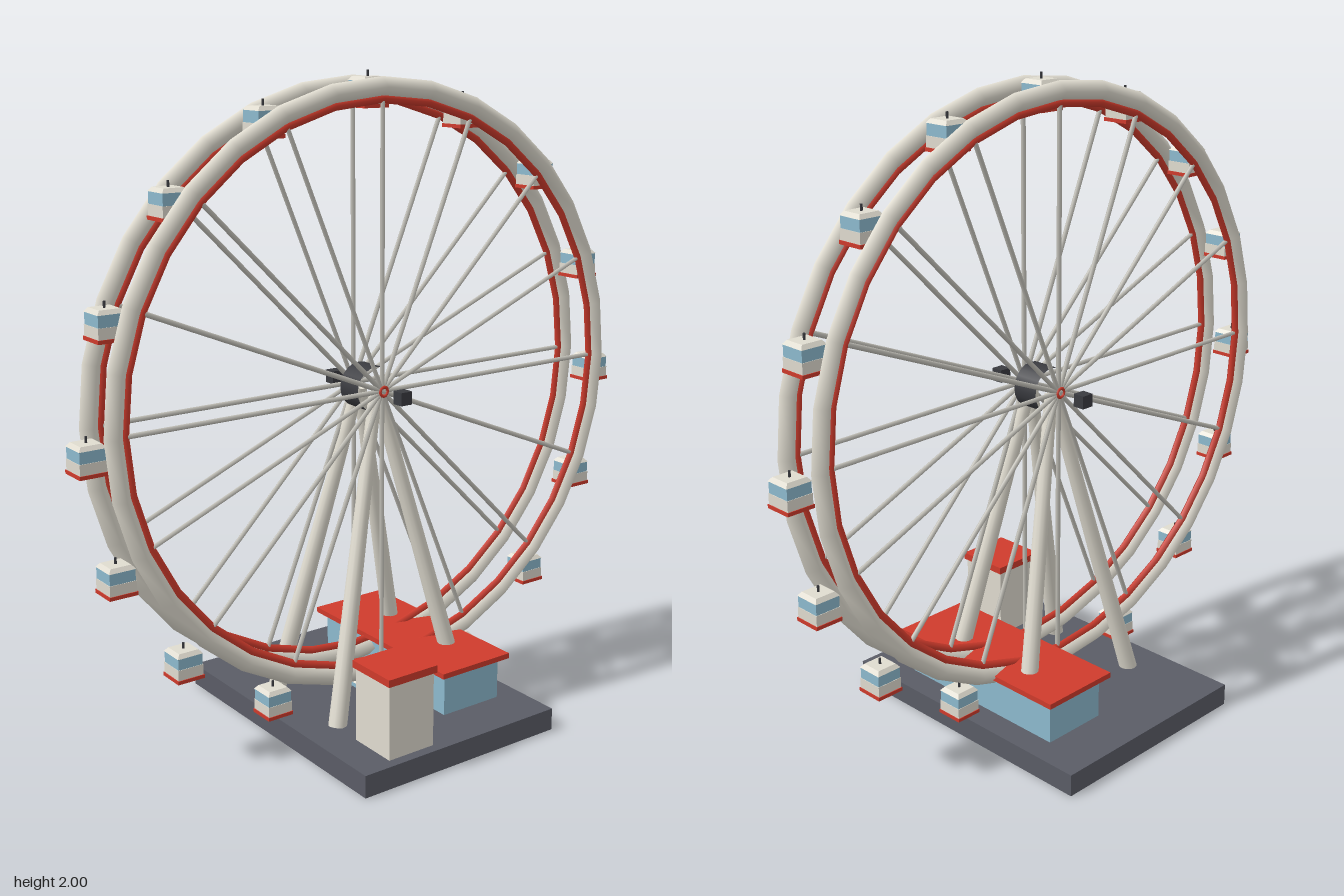
import * as THREE from 'three';

export function createModel() {
  const root = new THREE.Group();
  root.name = 'ferrisWheel';

  const mat = (name, color) => {
    const m = new THREE.MeshStandardMaterial({ color });
    m.name = name;
    return m;
  };
  const ivory = mat('ivory', 0xe0dcd0);
  const steel = mat('steel', 0xc4c2ba);
  const red = mat('red', 0xcf3b2c);
  const blue = mat('blue', 0x8dbace);
  const slate = mat('slate', 0x5a5c66);
  const dark = mat('dark', 0x3a3b40);

  const add = (parent, name, geometry, material, x = 0, y = 0, z = 0) => {
    const mesh = new THREE.Mesh(geometry, material);
    mesh.name = name;
    mesh.position.set(x, y, z);
    parent.add(mesh);
    return mesh;
  };
  // Box given by its centre in plan and its bottom and top heights
  const slab = (parent, name, material, w, d, y0, y1, x = 0, z = 0) =>
    add(parent, name, new THREE.BoxGeometry(w, y1 - y0, d), material, x, (y0 + y1) / 2, z);
  // Round bar between two points
  const bar = (parent, name, material, a, b, ra, rb, sides) => {
    const dir = b.clone().sub(a);
    const mid = a.clone().add(b).multiplyScalar(0.5);
    const mesh = add(parent, name, new THREE.CylinderGeometry(rb, ra, dir.length(), sides), material, mid.x, mid.y, mid.z);
    mesh.quaternion.setFromUnitVectors(new THREE.Vector3(0, 1, 0), dir.normalize());
    return mesh;
  };

  const AXLE_Y = 1.058;
  const COUNT = 16;
  const CABIN_R = 0.943;

  // Ground plate
  slab(root, 'base', slate, 0.95, 0.72, 0, 0.07);

  // Boarding station behind the axle
  const station = new THREE.Group();
  station.name = 'station';
  root.add(station);
  slab(station, 'stationBody', blue, 0.62, 0.215, 0.07, 0.194, 0, -0.17);
  slab(station, 'stationTrim', ivory, 0.63, 0.225, 0.194, 0.204, 0, -0.17);
  slab(station, 'stationRoof', red, 0.67, 0.265, 0.204, 0.221, 0, -0.17);

  // Ticket booth
  const booth = new THREE.Group();
  booth.name = 'ticketBooth';
  root.add(booth);
  slab(booth, 'boothBody', ivory, 0.162, 0.162, 0.07, 0.302, 0.362, 0.17);
  slab(booth, 'boothRoof', red, 0.176, 0.176, 0.302, 0.325, 0.362, 0.17);

  // Four splayed legs and the bearing blocks
  for (const sx of [1, -1]) {
    for (const sz of [1, -1]) {
      bar(root, 'supportLeg', ivory,
        new THREE.Vector3(sx * 0.168, 0.065, sz * 0.238),
        new THREE.Vector3(sx * 0.045, AXLE_Y - 0.01, sz * 0.004), 0.029, 0.02, 12);
    }
    add(root, 'bearingBlock', new THREE.BoxGeometry(0.038, 0.04, 0.04), dark, sx * 0.174, AXLE_Y, 0);
  }

  // Wheel: hub, two rims and their spokes
  const wheel = new THREE.Group();
  wheel.name = 'wheel';
  wheel.position.y = AXLE_Y;
  root.add(wheel);
  const hub = add(wheel, 'hub', new THREE.CylinderGeometry(0.07, 0.07, 0.09, 20, 1, true), dark);
  hub.rotation.z = Math.PI / 2;

  for (const sx of [1, -1]) {
    const x = sx * 0.073;
    const ring = (name, radius, tube, material, segments, px) => {
      add(wheel, name, new THREE.TorusGeometry(radius, tube, 4, segments), material, px).rotation.y = Math.PI / 2;
    };
    ring('rim', 0.897, 0.03, ivory, 32, x);
    ring('innerRim', 0.865, 0.014, red, 32, x);
    ring('hubRing', 0.014, 0.005, red, 12, sx * 0.083);
    for (let i = 0; i < COUNT; i++) {
      const a = (i / COUNT) * Math.PI * 2;
      bar(wheel, 'spoke', steel,
        new THREE.Vector3(x, 0, 0),
        new THREE.Vector3(x, Math.sin(a) * 0.875, Math.cos(a) * 0.875), 0.0075, 0.0075, 6);
    }
  }

  // Upright cabins hanging around the wheel
  const roofGeometry = new THREE.CylinderGeometry(0.045, 0.059, 0.012, 4, 1)
    .rotateY(Math.PI / 4).toNonIndexed();
  roofGeometry.computeVertexNormals();
  for (let i = 0; i < COUNT; i++) {
    const a = (i / COUNT) * Math.PI * 2;
    const cabin = new THREE.Group();
    cabin.name = 'cabin';
    cabin.position.set(0, Math.sin(a) * CABIN_R, Math.cos(a) * CABIN_R);
    wheel.add(cabin);
    add(cabin, 'hanger', new THREE.CylinderGeometry(0.004, 0.004, 0.024, 6), dark, 0, -0.012, 0);
    add(cabin, 'cabinRoof', roofGeometry, ivory, 0, -0.024, 0);
    slab(cabin, 'cabinWindows', blue, 0.08, 0.08, -0.064, -0.03);
    slab(cabin, 'cabinBody', ivory, 0.083, 0.083, -0.096, -0.064);
    slab(cabin, 'cabinFloor', red, 0.088, 0.088, -0.107, -0.096);
  }

  return root;
}
